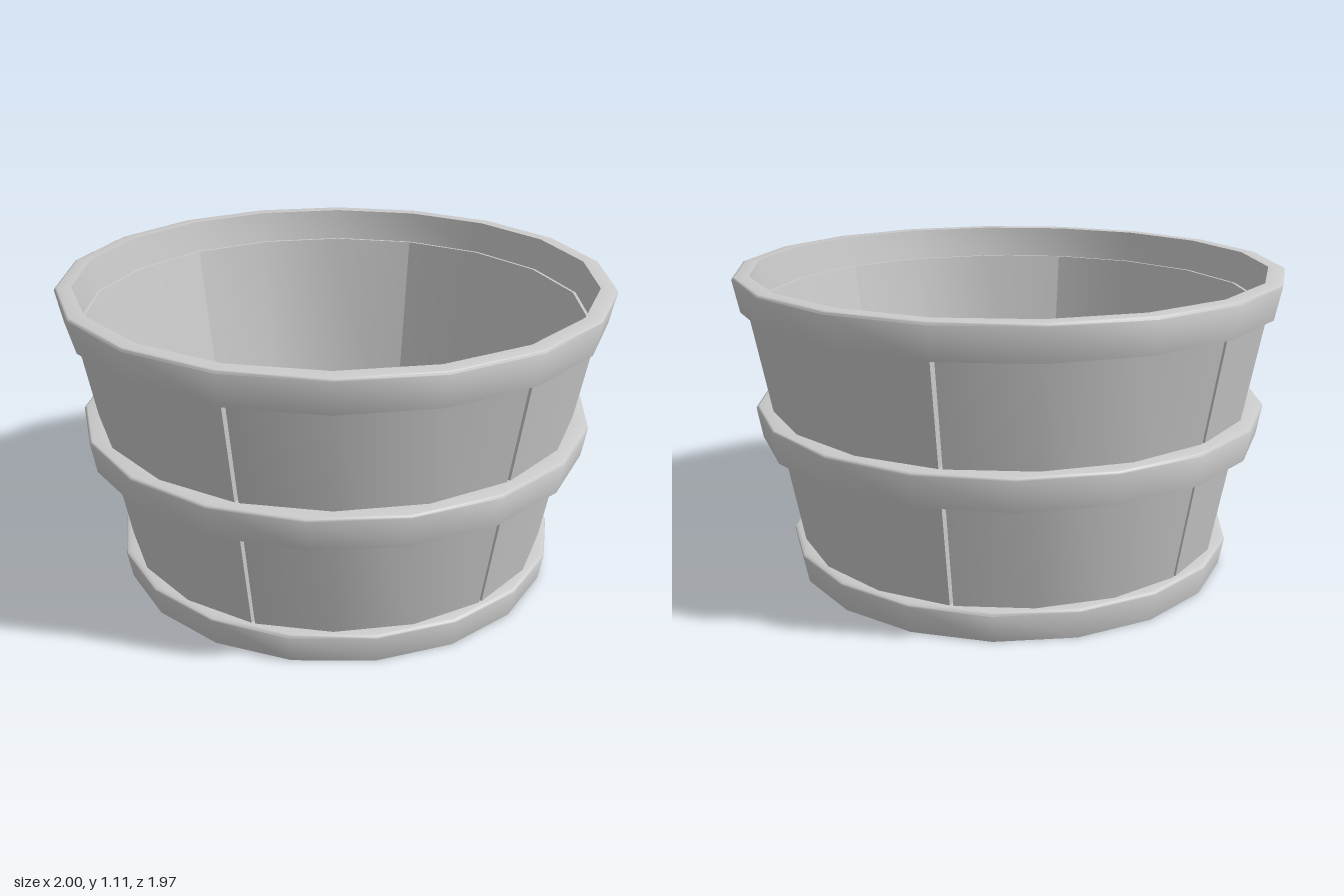
import * as THREE from 'three';
import { toCreasedNormals } from 'three/addons/utils/BufferGeometryUtils.js';

const rad = THREE.MathUtils.degToRad;
const material = new THREE.MeshStandardMaterial({ color: 0xcccccc });

const SIDES = 18;
const STAVES = 6;
const BODY_BOTTOM = 0.05, BODY_TOP = 0.99;

// One curved plank: a plan section extruded upwards, then flared with height.
// The outer face is a little narrower than the inner one, leaving a V groove.
function staveGeometry() {
  const outer = 0.952, inner = 0.91, groove = 0.45;
  const at = (r, deg) => new THREE.Vector2(r * Math.sin(rad(deg)), -r * Math.cos(rad(deg)));
  const points = [
    ...[groove, 20, 40, 60 - groove].map((a) => at(outer, a)),
    ...[60, 40, 20, 0].map((a) => at(inner, a)),
  ];
  const geo = new THREE.ExtrudeGeometry(new THREE.Shape(points), {
    depth: BODY_TOP - BODY_BOTTOM, bevelEnabled: false, steps: 1,
  });
  geo.rotateX(-Math.PI / 2).translate(0, BODY_BOTTOM, 0);

  const pos = geo.attributes.position;
  for (let i = 0; i < pos.count; i++) {
    const s = 0.814 + 0.186 * (pos.getY(i) / BODY_TOP);
    pos.setX(i, pos.getX(i) * s);
    pos.setZ(i, pos.getZ(i) * s);
  }
  return toCreasedNormals(geo, rad(35));
}

// Flared band with a softly rounded upper edge
function hoop(name, { y0, y1, in0, in1, out0, out1, turn }) {
  const b = 0.01;
  const profile = [
    [in0, y0], [out0, y0], [out1, y1 - b], [out1 - b * 0.3, y1 - b * 0.3],
    [out1 - b, y1], [in1, y1], [in0, y0],
  ].map(([r, y]) => new THREE.Vector2(r, y));
  const geo = new THREE.LatheGeometry(profile, SIDES, rad(turn));
  const mesh = new THREE.Mesh(toCreasedNormals(geo, rad(50)), material);
  mesh.name = name;
  return mesh;
}

export function createModel() {
  const model = new THREE.Group();
  model.name = 'woodenTub';

  // Staves
  const staves = new THREE.Group();
  staves.name = 'staves';
  const geo = staveGeometry();
  for (let i = 0; i < STAVES; i++) {
    const stave = new THREE.Mesh(geo, material);
    stave.name = `stave${i + 1}`;
    stave.rotation.y = rad(10 + (i * 360) / STAVES);
    staves.add(stave);
  }
  model.add(staves);

  // Hoops, each turned a little differently
  model.add(
    hoop('bottomHoop', { y0: 0, y1: 0.11, in0: 0.75, in1: 0.775, out0: 0.815, out1: 0.833, turn: 0 }),
    hoop('middleHoop', { y0: 0.5, y1: 0.62, in0: 0.85, in1: 0.865, out0: 0.925, out1: 0.943, turn: 5 }),
    hoop('topHoop', { y0: 0.985, y1: 1.11, in0: 0.92, in1: 0.94, out0: 0.977, out1: 1.0, turn: 10 }),
  );

  // Floor board, seated slightly towards the back
  const floor = new THREE.Mesh(
    new THREE.CylinderGeometry(0.747, 0.747, 0.025, SIDES, 1, false, rad(-5)),
    material,
  );
  floor.name = 'floor';
  floor.position.set(0, 0.0175, -0.012);
  model.add(floor);

  return model;
}
